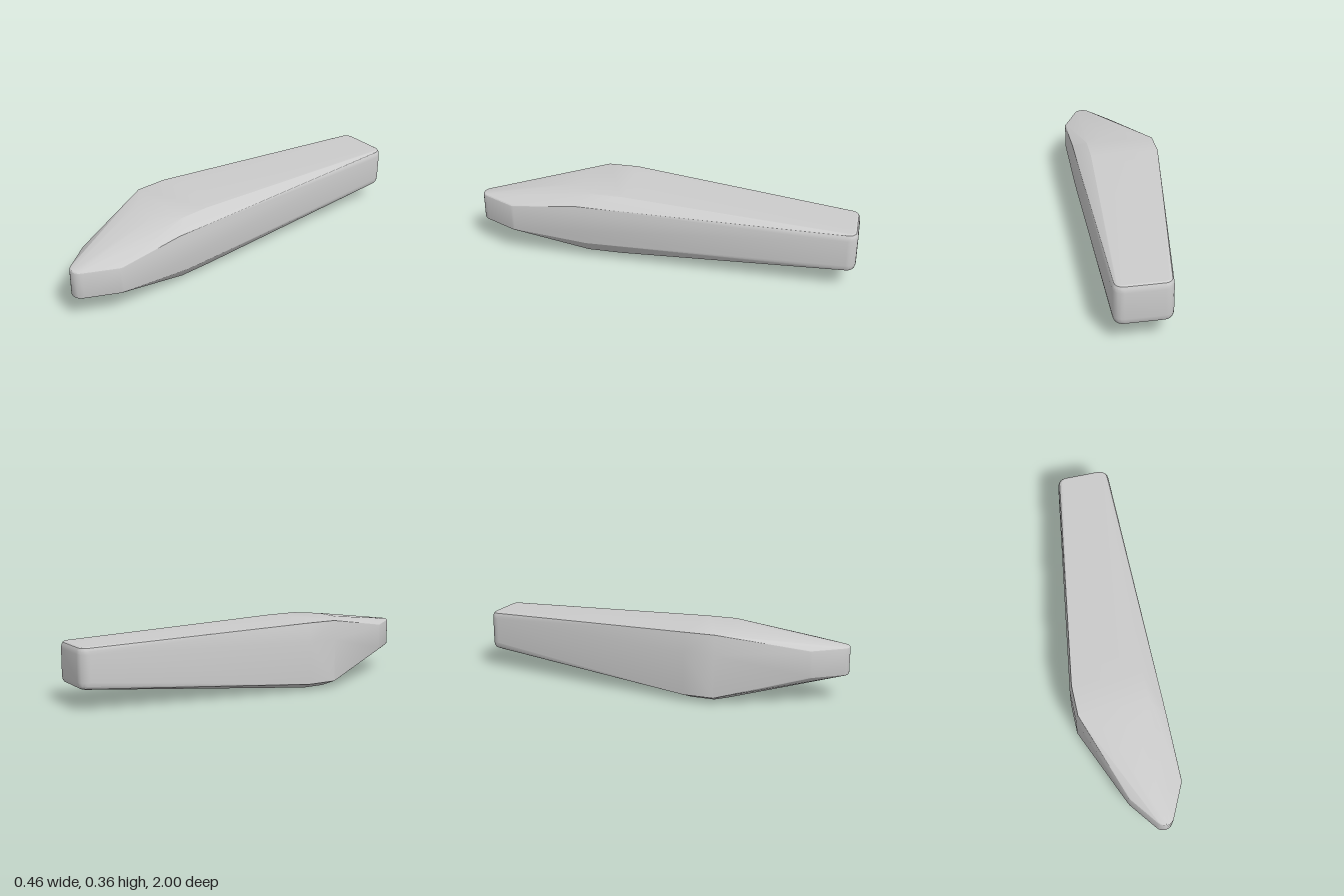
import * as THREE from 'three';
import { ConvexGeometry } from 'three/addons/geometries/ConvexGeometry.js';
import { toCreasedNormals } from 'three/addons/utils/BufferGeometryUtils.js';

// Rounded upright post: bevelled top and bottom rims around (x, z)
function post(points, x, z, r, y0, y1, bevel, drop) {
  const segments = 20;
  for (let step = 0; step <= 3; step++) {
    const a = (step / 3) * Math.PI / 2;
    const radius = r - bevel * (1 - Math.cos(a - Math.PI / 2 + Math.PI / 2 * 1));
    const inset = drop * (1 - Math.sin(a));
    for (let i = 0; i < segments; i++) {
      const t = (i / segments) * Math.PI * 2;
      const px = x + radius * Math.cos(t);
      const pz = z + radius * Math.sin(t);
      points.push(new THREE.Vector3(px, y0 + inset, pz));
      points.push(new THREE.Vector3(px, y1 - inset, pz));
    }
  }
}

export function createModel() {
  const group = new THREE.Group();
  const points = [];

  // Blunt back end
  post(points, -0.005, -0.95, 0.05, 0.11, 0.318, 0.018, 0.035);
  post(points, 0.181, -0.95, 0.05, 0.11, 0.318, 0.018, 0.035);

  // Narrow front tip and its two shoulders
  post(points, 0.095, 0.95, 0.05, 0.135, 0.287, 0.01, 0.012);
  post(points, -0.02, 0.815, 0.04, 0.135, 0.287, 0.01, 0.012);
  post(points, 0.172, 0.79, 0.05, 0.135, 0.287, 0.01, 0.012);

  // Faceted hump: plateau on top, smaller flat underneath, flanks between
  const hump = [
    [0.362, [[-0.22, 0.38], [-0.1, 0.48], [0.05, 0.48], [0.15, 0.38],
      [0.15, 0.22], [0.05, 0.12], [-0.1, 0.12], [-0.22, 0.22]]],
    [0.26, [[-0.232, 0.38], [-0.232, 0.22]]],
    [0.035, [[-0.232, 0.38], [-0.232, 0.22], [0.165, 0.4], [0.165, 0.22]]],
    [0, [[-0.15, 0.36], [-0.09, 0.42], [0.02, 0.42], [0.085, 0.37],
      [0.085, 0.24], [0.02, 0.18], [-0.09, 0.18], [-0.15, 0.24]]],
    [0.105, [[0.222, 0.4]]],
    [0.318, [[0.222, 0.45]]],
  ];
  for (const [y, ring] of hump) {
    for (const [x, z] of ring) points.push(new THREE.Vector3(x, y, z));
  }

  const geometry = toCreasedNormals(new ConvexGeometry(points), 0.4);
  const body = new THREE.Mesh(geometry, new THREE.MeshStandardMaterial({ color: 0xcccccc }));
  body.name = 'taperedBody';
  group.add(body);
  return group;
}
